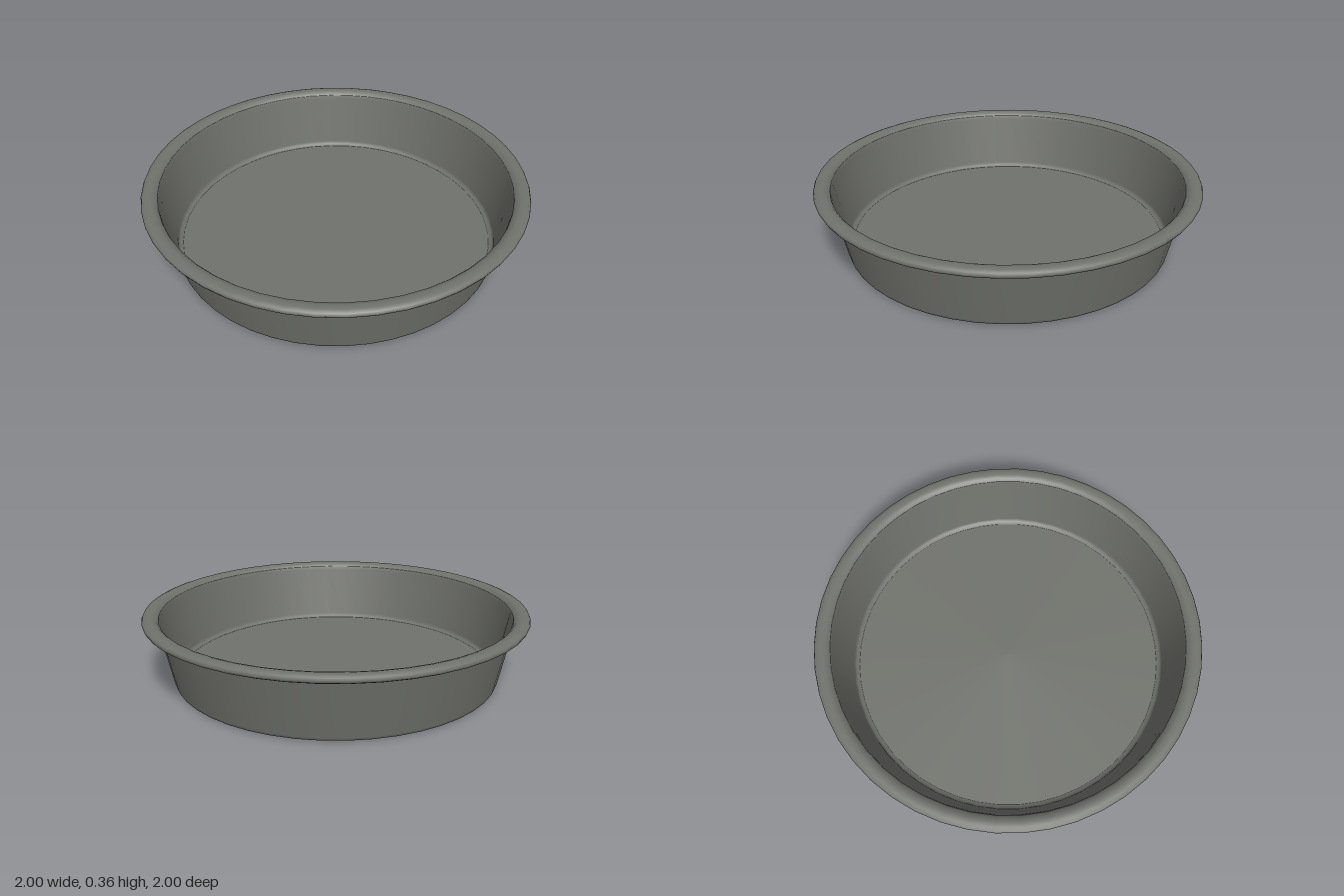
import * as THREE from 'three';

const SEGMENTS = 48;

export function createModel() {
  const pan = new THREE.Group();
  pan.name = 'bakingPan';
  const metal = new THREE.MeshStandardMaterial({ color: 0x70726c });
  metal.name = 'darkGreyMetal';

  // Each part is a revolved profile; separate parts keep the creases sharp.
  const addPart = (name, profile) => {
    const points = profile.map(([r, y]) => new THREE.Vector2(r, y));
    const mesh = new THREE.Mesh(new THREE.LatheGeometry(points, SEGMENTS), metal);
    mesh.name = name;
    pan.add(mesh);
  };

  // Underside
  addPart('base', [[0, 0], [0.85, 0]]);

  // Flared outside wall with a small rounded foot
  addPart('outerWall', [[0.85, 0], [0.859, 0.005], [0.863, 0.018], [0.925, 0.326]]);

  // Rolled lip
  addPart('rim', [
    [0.925, 0.326], [0.945, 0.322], [0.98, 0.322], [0.995, 0.33], [1, 0.341],
    [0.994, 0.353], [0.975, 0.36], [0.95, 0.36], [0.93, 0.354], [0.918, 0.34],
  ]);

  // Inside wall, easing into the floor
  addPart('innerWall', [[0.918, 0.34], [0.912, 0.32], [0.856, 0.04], [0.848, 0.024], [0.83, 0.018]]);

  // Inside floor
  addPart('floor', [[0.83, 0.018], [0, 0.018]]);

  return pan;
}
